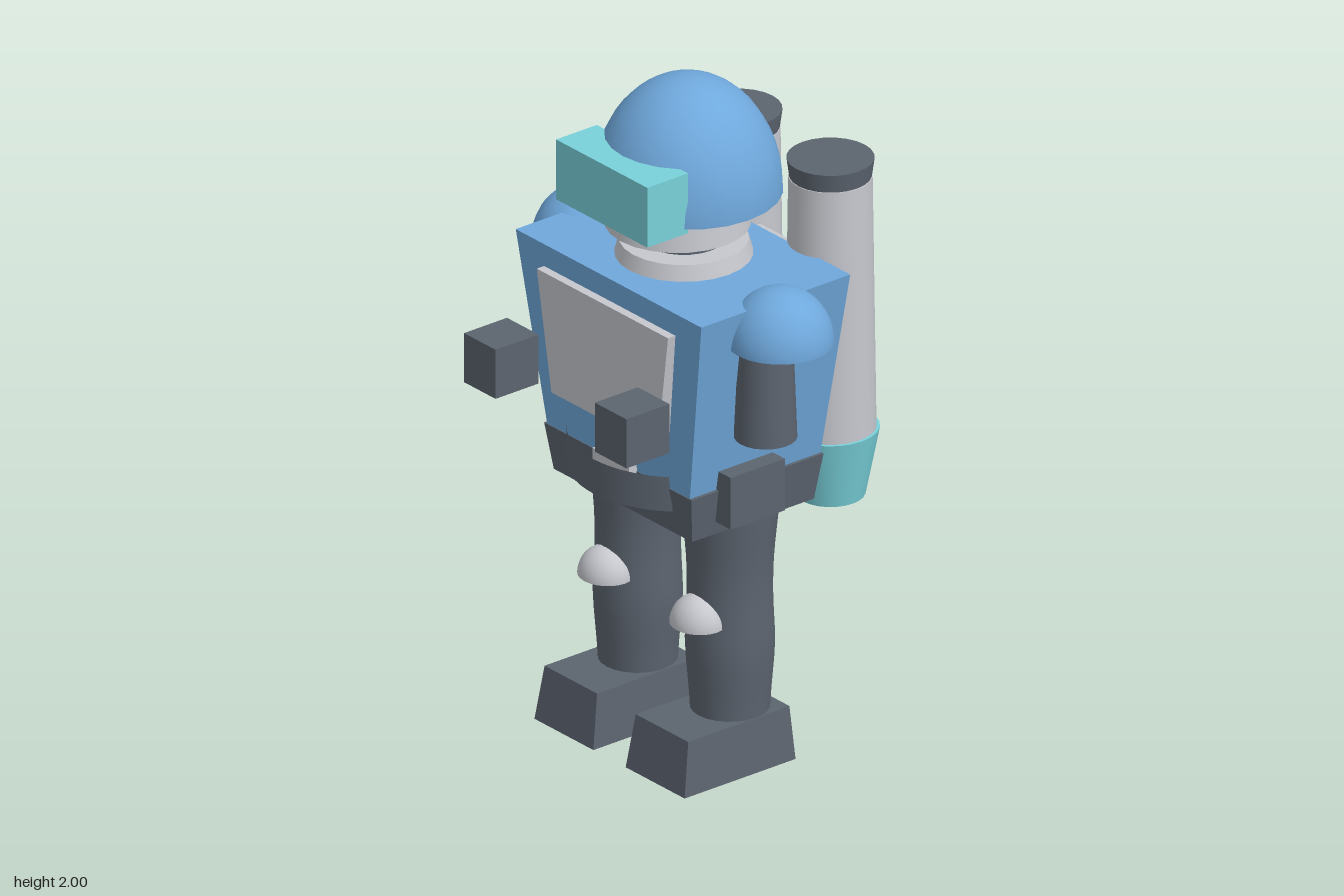
import * as THREE from 'three';

const paint = (name, color, side = THREE.FrontSide) => {
  const m = new THREE.MeshStandardMaterial({ color, side });
  m.name = name;
  return m;
};

// Box with different top and bottom footprints: [width, depth, zCentre]
function taperedBox(y0, y1, bottom, top) {
  const g = new THREE.BoxGeometry(1, 1, 1);
  const p = g.attributes.position;
  for (let i = 0; i < p.count; i++) {
    const up = p.getY(i) > 0;
    const [w, d, z] = up ? top : bottom;
    p.setXYZ(i, p.getX(i) * w, up ? y1 : y0, p.getZ(i) * d + z);
  }
  g.computeVertexNormals();
  return g;
}

// Upright round part between two heights
function drum(y0, y1, r0, r1, segments = 24) {
  return new THREE.CylinderGeometry(r1, r0, y1 - y0, segments).translate(0, (y0 + y1) / 2, 0);
}

// Half sphere with its open rim at y = 0
function dome(rx, ry, rz) {
  return new THREE.SphereGeometry(1, 24, 12, 0, Math.PI * 2, 0, Math.PI / 2).scale(rx, ry, rz);
}

export function createModel() {
  const model = new THREE.Group();
  const blue = paint('armourBlue', 0x6fa8dc, THREE.DoubleSide);
  const dark = paint('darkGrey', 0x5c646f, THREE.DoubleSide);
  const grey = paint('lightGrey', 0xc6c8ce, THREE.DoubleSide);
  const teal = paint('teal', 0x79d1da);

  const add = (name, geometry, material, x = 0, y = 0, z = 0) => {
    const mesh = new THREE.Mesh(geometry, material);
    mesh.name = name;
    mesh.position.set(x, y, z);
    model.add(mesh);
    return mesh;
  };

  // Torso and waist
  add('torso', taperedBox(0.9, 1.47, [0.62, 0.465, 0], [0.806, 0.53, 0.003]), blue);
  add('pelvis', taperedBox(0.76, 0.9, [0.6, 0.434, 0], [0.64, 0.47, 0]), dark);
  add('chestPlate', taperedBox(1.04, 1.4, [0.46, 0.08, 0.243], [0.57, 0.08, 0.25]), grey);
  add('beltPlate', new THREE.BoxGeometry(0.16, 0.08, 0.05), grey, 0, 0.88, 0.235);
  add('beltGuard', new THREE.CylinderGeometry(0.323, 0.323, 0.105, 16, 1, true,
    -Math.PI / 4, Math.PI / 2), dark, 0, 0.882, 0);
  add('backPlate', new THREE.BoxGeometry(0.4, 0.32, 0.12), grey, 0, 1.26, -0.28);

  // Neck and head
  add('collar', drum(1.46, 1.515, 0.195, 0.18), grey);
  add('neck', drum(1.5, 1.6, 0.115, 0.115), dark);
  add('head', drum(1.57, 1.72, 0.203, 0.185), grey, 0, 0, 0.022);
  add('helmet', dome(0.265, 0.34, 0.265), blue, 0, 1.66, -0.013);
  add('visor', new THREE.BoxGeometry(0.396, 0.183, 0.145), teal, 0, 1.737, 0.22);

  // Leg outline from ankle to hip
  const legCurve = new THREE.SplineCurve([
    [0.11, 0.14], [0.115, 0.22], [0.125, 0.36], [0.12, 0.5],
    [0.122, 0.62], [0.135, 0.76], [0.138, 0.82],
  ].map(([r, y]) => new THREE.Vector2(r, y)));
  const legProfile = [...legCurve.getPoints(18), new THREE.Vector2(0, 0.82)];

  for (const [side, s] of [['left', 1], ['right', -1]]) {
    // Legs
    add(side + 'Foot', taperedBox(0, 0.16, [0.256, 0.395, 0.067], [0.228, 0.36, 0.06]), dark, s * 0.198);
    add(side + 'Leg', new THREE.LatheGeometry(legProfile, 24), dark, s * 0.2);
    add(side + 'KneePad', dome(0.083, 0.085, 0.076), grey, s * 0.2, 0.445, 0.114);
    add(side + 'HipPouch', new THREE.BoxGeometry(0.1, 0.158, 0.193), dark, s * 0.322, 0.88, 0.042);

    // Arms
    add(side + 'Shoulder', dome(0.15, 0.16, 0.15), blue, s * 0.422, 1.355, 0.003);
    add(side + 'Arm', drum(1.07, 1.42, 0.088, 0.075), dark, s * 0.404, 0, 0.04);
    add(side + 'Hand', new THREE.BoxGeometry(0.137, 0.15, 0.153), dark, s * 0.284, 1.165, 0.417);

    // Back thrusters
    const thruster = new THREE.Group();
    thruster.name = side + 'Thruster';
    thruster.position.set(s * 0.2, 0, -0.358);
    for (const [name, geometry, material] of [
      ['tank', drum(0.88, 1.67, 0.128, 0.117), grey],
      ['tankCap', drum(1.66, 1.725, 0.113, 0.122), dark],
      ['nozzle', drum(0.7, 0.905, 0.097, 0.137), teal],
    ]) {
      const mesh = new THREE.Mesh(geometry, material);
      mesh.name = name;
      thruster.add(mesh);
    }
    model.add(thruster);
  }
  return model;
}
